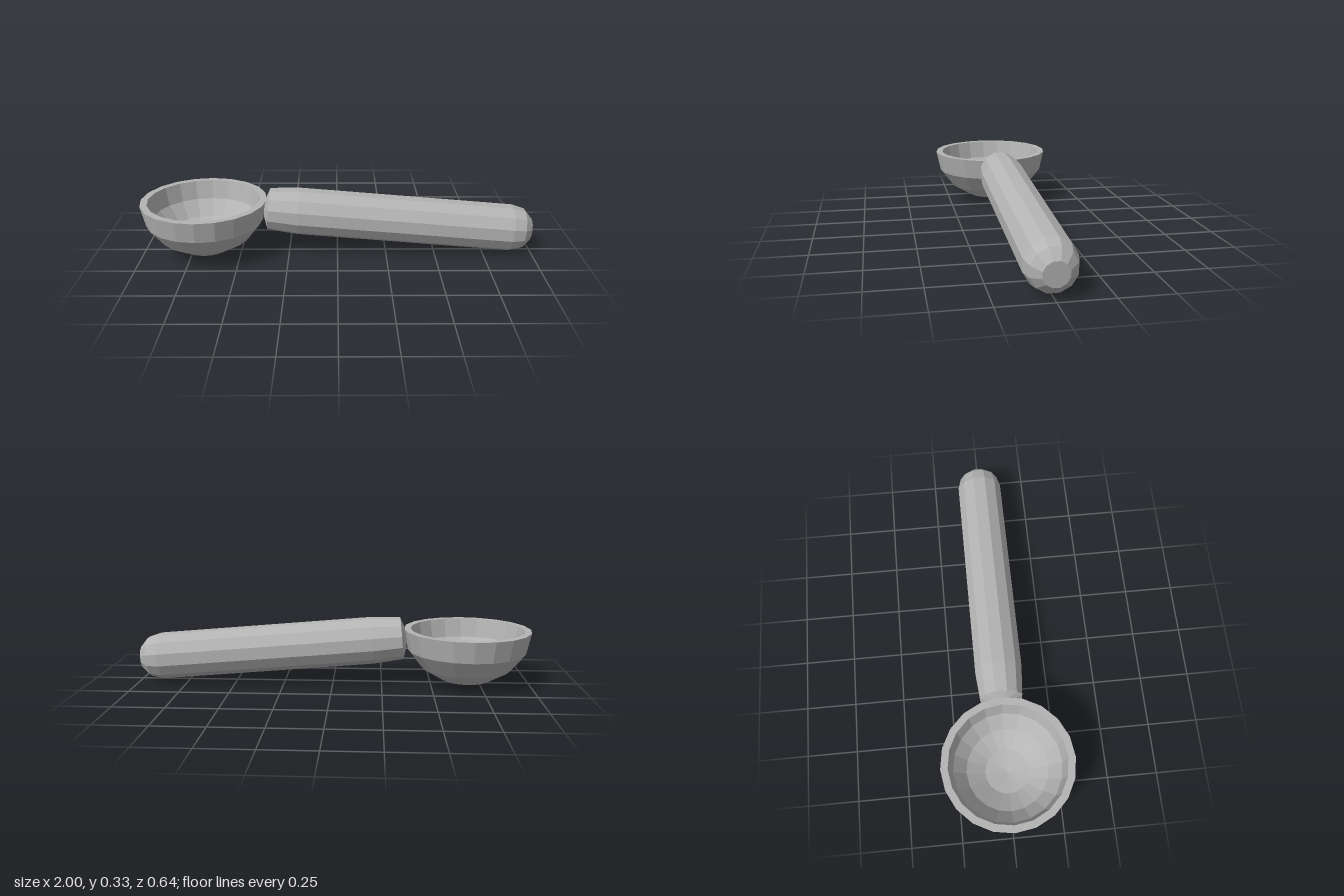
import * as THREE from 'three';

export function createModel() {
  const group = new THREE.Group();
  const grey = new THREE.MeshStandardMaterial({ color: 0xb4b4b4 });
  grey.name = 'grey metal';
  grey.flatShading = true;

  // Faceted solid of revolution from [radius, height] pairs
  const lathe = (name, profile, sides, phase = 0) => {
    const points = profile.map(([r, y]) => new THREE.Vector2(r, y));
    const mesh = new THREE.Mesh(new THREE.LatheGeometry(points, sides, phase), grey);
    mesh.name = name;
    group.add(mesh);
    return mesh;
  };

  // Bowl: outer shell, flat rim, and a smaller inner shell scaled about the rim centre
  const rimY = 0.283;
  const wall = 0.89;
  const outer = [[0, 0.002], [0.123, 0.023], [0.227, 0.085], [0.297, 0.175], [0.32, rimY]];
  const inner = outer.map(([r, y]) => [r * wall, rimY - (rimY - y) * wall]).reverse();
  const bowl = lathe('bowl', [...outer, ...inner], 20);
  bowl.position.x = -0.68;

  // Handle: twelve-sided grip, slightly tapered at the bowl and domed at the far end
  const handle = lathe('handle', [
    [0, -0.022], [0.045, -0.022], [0.107, 0], [0.12, 0.15],
    [0.12, 1.245], [0.104, 1.308], [0.059, 1.35], [0, 1.35],
  ], 12, Math.PI / 12);
  handle.position.set(-0.35, 0.232, 0);
  handle.rotation.z = -Math.PI / 2 - 0.0857;

  return group;
}
